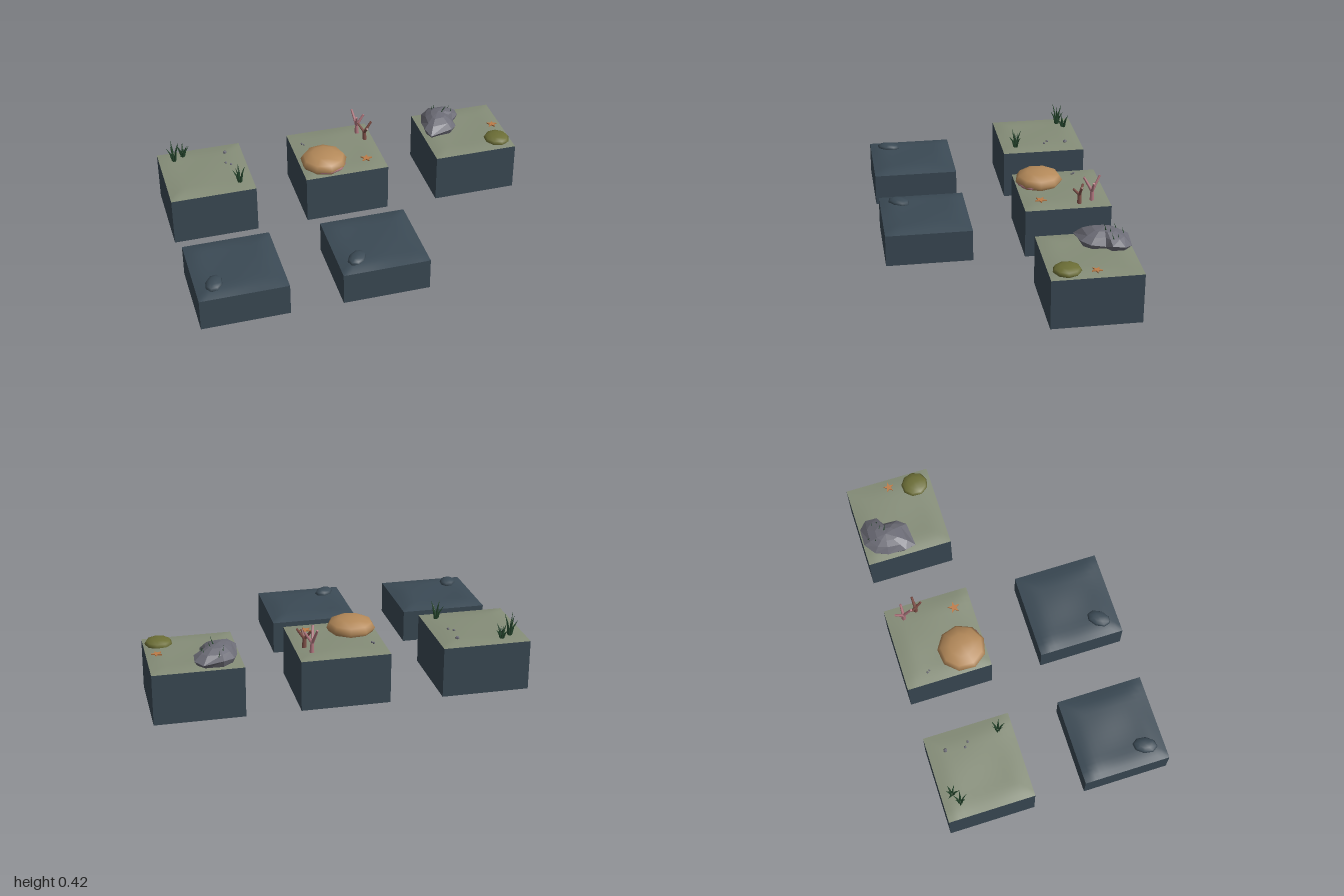
import * as THREE from 'three';

const SIZE = 0.475;
const V = (x, y, z) => new THREE.Vector3(x, y, z);
const mat = (name, color, extra = {}) => {
  const m = new THREE.MeshStandardMaterial({ color, ...extra });
  m.name = name;
  return m;
};

export function createModel() {
  const two = { side: THREE.DoubleSide };
  const M = {
    wall: mat('slate', 0x3b4a55, two),
    sand: mat('mossySand', 0x858d78, two),
    tan: mat('tanCoral', 0xb58a5a),
    pink: mat('pinkCoral', 0xb57a82),
    maroon: mat('maroonCoral', 0x805048),
    rock: mat('greyRock', 0x6c6c76, { flatShading: true, ...two }),
    olive: mat('oliveCoral', 0x6c6e36),
    grass: mat('seaGrass', 0x25462d),
    orange: mat('starfishOrange', 0xbd7c48),
  };
  const root = new THREE.Group();
  root.name = 'seabedTiles';

  const add = (parent, name, geo, material, x = 0, y = 0, z = 0) => {
    const mesh = new THREE.Mesh(geo, material);
    mesh.name = name;
    mesh.position.set(x, y, z);
    parent.add(mesh);
    return mesh;
  };
  const group = (parent, name) => {
    const g = new THREE.Group();
    g.name = name;
    parent.add(g);
    return g;
  };

  // Tapered rod between two points
  const rod = (parent, name, a, b, r0, r1, material, sides = 5) => {
    const d = b.clone().sub(a);
    const m = add(parent, name, new THREE.CylinderGeometry(r1, r0, d.length(), sides), material);
    m.position.copy(a).addScaledVector(d, 0.5);
    m.quaternion.setFromUnitVectors(V(0, 1, 0), d.normalize());
  };

  // Tile: four walls, open below, and a softly uneven top that meets the rim
  const tile = (name, x, z, h, topMat, rise, phase) => {
    const g = group(root, name);
    for (let i = 0; i < 4; i++) {
      const a = i * Math.PI / 2;
      const wall = add(g, 'wall', new THREE.PlaneGeometry(SIZE, h), M.wall,
        x + Math.sin(a) * SIZE / 2, h / 2, z + Math.cos(a) * SIZE / 2);
      wall.rotation.y = a;
    }
    const top = new THREE.PlaneGeometry(SIZE, SIZE, 16, 16).rotateX(-Math.PI / 2);
    const p = top.attributes.position;
    for (let i = 0; i < p.count; i++) {
      const u = p.getX(i), w = p.getZ(i);
      const edge = Math.min(1, (SIZE / 2 - Math.max(Math.abs(u), Math.abs(w))) / 0.09);
      const wave = 0.75 + 0.25 * Math.sin(u * 13 + phase) * Math.cos(w * 11 + phase);
      p.setY(i, rise * Math.sin(edge * Math.PI / 2) * wave);
    }
    top.computeVertexNormals();
    add(g, 'topSurface', top, topMat, x, h, z);
    return g;
  };

  // Squashed round lump
  const lump = (parent, name, x, y, z, rx, ry, rz, material, turn = 0, sides = 9) => {
    const m = add(parent, name, new THREE.SphereGeometry(1, sides, 6), material, x, y, z);
    m.scale.set(rx, ry, rz);
    m.rotation.y = turn;
    return m;
  };

  // Grass clump: blades leaning outwards
  const grass = (parent, x, z, height, turn) => {
    const g = group(parent, 'grassClump');
    for (let i = 0; i < 6; i++) {
      const a = turn + i * Math.PI / 3;
      const h = height * (i % 2 ? 0.72 : 1), out = i % 2 ? 0.04 : 0.03;
      const base = V(x + Math.cos(a) * 0.007, 0.28, z + Math.sin(a) * 0.007);
      const mid = V(x + Math.cos(a) * out * 0.45, 0.28 + h * 0.55, z + Math.sin(a) * out * 0.45);
      const tip = V(x + Math.cos(a) * out, 0.28 + h, z + Math.sin(a) * out);
      rod(g, 'lowerBlade', base, mid, 0.006, 0.005, M.grass, 4);
      rod(g, 'bladeTip', mid, tip, 0.005, 0.0005, M.grass, 4);
    }
  };

  // Five-armed starfish lying flat
  const starfish = (parent, x, y, z, r) => {
    const s = new THREE.Shape();
    for (let i = 0; i < 10; i++) {
      const a = i * Math.PI / 5, q = i % 2 ? r * 0.4 : r;
      s[i ? 'lineTo' : 'moveTo'](Math.cos(a) * q, Math.sin(a) * q);
    }
    const geo = new THREE.ExtrudeGeometry(s, { depth: 0.007, bevelEnabled: false });
    add(parent, 'starfish', geo.rotateX(-Math.PI / 2), M.orange, x, y, z);
  };

  const pebble = (parent, x, z, r) =>
    add(parent, 'pebble', new THREE.IcosahedronGeometry(r, 0), M.rock, x, 0.289, z);

  // Front slate tiles, each with a low stone
  [[-0.7625, -0.9], [-0.0025, -0.138]].forEach(([x, sx], i) => {
    const g = tile('slateTile', x, 0.378, 0.18, M.wall, 0.022, i * 0.4);
    lump(g, 'slateStone', sx, 0.197, 0.51, 0.045, 0.024, 0.068, M.wall, i ? -0.7 : -0.4, 8);
  });

  // Left tile: grass and pebbles
  const left = tile('grassTile', -0.7625, -0.3825, 0.275, M.sand, 0.013, 0.5);
  grass(left, -0.915, -0.53, 0.12, 0.2);
  grass(left, -0.86, -0.56, 0.08, 0.7);
  grass(left, -0.6, -0.225, 0.105, 0.4);
  pebble(left, -0.625, -0.525, 0.012);
  pebble(left, -0.64, -0.42, 0.008);
  pebble(left, -0.615, -0.398, 0.008);

  // Middle tile: dome coral with a pink lower front
  const mid = tile('coralTile', -0.0025, -0.3825, 0.275, M.sand, 0.013, 1.4);
  lump(mid, 'domeCoral', -0.107, 0.303, -0.275, 0.132, 0.057, 0.133, M.tan, 0.3);
  lump(mid, 'pinkCoralBase', -0.09, 0.295, -0.225, 0.1, 0.025, 0.078, M.pink, 0.2);
  starfish(mid, 0.135, 0.286, -0.245, 0.034);
  pebble(mid, -0.18, -0.49, 0.007);
  pebble(mid, -0.172, -0.478, 0.006);

  // Branching corals: stem, then forks
  const branching = (name, base, fork, tips, material) => {
    const g = group(mid, name);
    rod(g, 'stem', base, fork, 0.013, 0.01, material, 6);
    tips.forEach((t) => rod(g, 'branch', fork, t, 0.009, 0.006, material, 6));
  };
  branching('pinkBranchCoral', V(0.16, 0.275, -0.525), V(0.158, 0.335, -0.525),
    [V(0.14, 0.42, -0.57), V(0.2, 0.4, -0.525), V(0.145, 0.415, -0.48)], M.pink);
  branching('maroonBranchCoral', V(0.185, 0.275, -0.45), V(0.183, 0.33, -0.45),
    [V(0.152, 0.38, -0.475), V(0.225, 0.39, -0.455), V(0.19, 0.37, -0.415)], M.maroon);

  // Right tile: grey rock, olive coral, starfish
  const right = tile('rockTile', 0.7625, -0.3825, 0.275, M.sand, 0.013, 2.2);
  lump(right, 'oliveCoral', 0.92, 0.288, -0.24, 0.073, 0.029, 0.076, M.olive, 0.3);
  starfish(right, 0.945, 0.286, -0.385, 0.03);

  // Grey rock lofted from its outline towards a ridge point
  const outline = [[0.535, -0.4], [0.545, -0.5], [0.57, -0.57], [0.63, -0.615], [0.735, -0.612],
    [0.775, -0.57], [0.77, -0.505], [0.733, -0.478], [0.725, -0.4], [0.685, -0.355], [0.555, -0.34]];
  const rings = [[0.275, 0.86], [0.305, 1], [0.338, 0.72], [0.358, 0.4], [0.367, 0]];
  const n = outline.length, pos = [], idx = [];
  rings.forEach(([y, s], r) => outline.forEach(([x, z], i) => {
    const bump = r === 1 ? [0.012, -0.006, 0.004][i % 3] : 0;
    pos.push(0.64 + (x - 0.64) * s, y + bump, -0.485 + (z + 0.485) * s);
    if (r === rings.length - 1) return;
    const a = r * n + i, b = r * n + (i + 1) % n;
    idx.push(a, a + n, b, b, a + n, b + n);
  }));
  const rock = new THREE.BufferGeometry();
  rock.setAttribute('position', new THREE.Float32BufferAttribute(pos, 3));
  rock.setIndex(idx);
  rock.computeVertexNormals();
  add(right, 'greyRock', rock, M.rock);

  // Short spikes on the rock
  [[0.655, -0.59, 0.315], [0.68, -0.515, 0.34], [0.735, -0.52, 0.325], [0.665, -0.49, 0.355],
    [0.63, -0.555, 0.33], [0.715, -0.55, 0.32]].forEach(([x, z, y], i) =>
    rod(right, 'rockSpike', V(x, y, z), V(x + (i % 2 ? 0.014 : -0.01), y + 0.045, z + 0.012), 0.004, 0.0005, M.grass, 4));

  return root;
}
